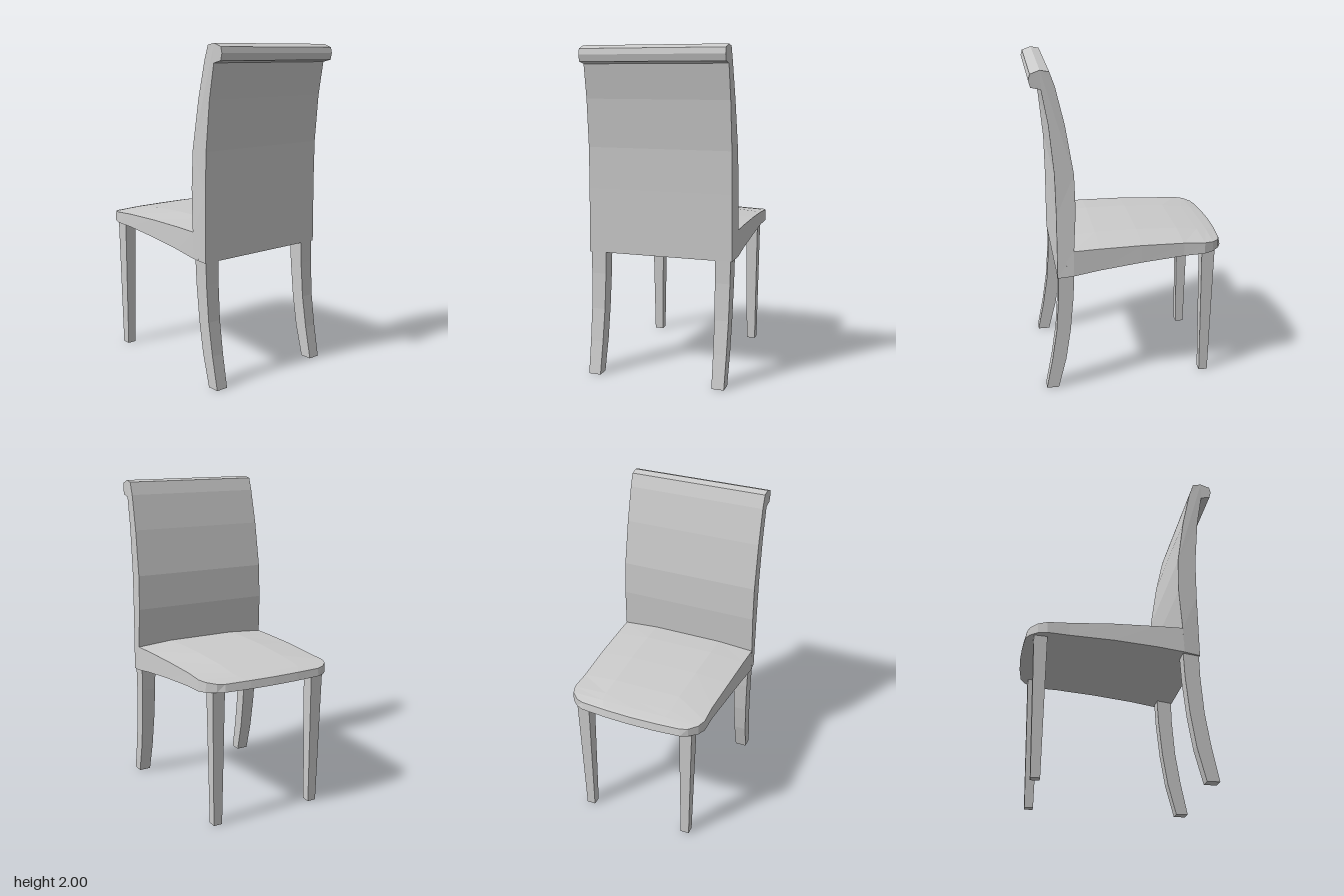
import * as THREE from 'three';

const material = new THREE.MeshStandardMaterial({ color: 0xcccccc, flatShading: true });

function addMesh(group, name, geometry) {
  const mesh = new THREE.Mesh(geometry, material);
  mesh.name = name;
  group.add(mesh);
  return mesh;
}

// Extrude a side profile across z, then set each vertex's z by a rule (side is -1 or 1).
function profileSolid(points, zRule) {
  const shape = new THREE.Shape(points.map(([x, y]) => new THREE.Vector2(x, y)));
  const geometry = new THREE.ExtrudeGeometry(shape, { depth: 1, bevelEnabled: false });
  const p = geometry.attributes.position;
  for (let i = 0; i < p.count; i++) {
    p.setZ(i, zRule(p.getX(i), p.getY(i), p.getZ(i) > 0.5 ? 1 : -1));
  }
  geometry.computeVertexNormals();
  return geometry;
}

// Seat cushion: cross-sections along x, with a crowned top and a bowed front edge.
function seatGeometry() {
  // x, half width, rim height, crown height, underside height, front bow
  const stations = [
    [-0.57, 0.325, 0.907, 0.909, 0.86, 0.018],
    [-0.55, 0.372, 0.91, 0.914, 0.858, 0.014],
    [-0.505, 0.42, 0.916, 0.923, 0.855, 0.008],
    [-0.45, 0.44, 0.92, 0.93, 0.851, 0],
    [-0.32, 0.437, 0.925, 0.943, 0.843, 0],
    [-0.06, 0.45, 0.932, 0.953, 0.823, 0],
    [0.2, 0.459, 0.93, 0.951, 0.793, 0],
    [0.36, 0.465, 0.926, 0.943, 0.768, 0],
    [0.4, 0.46, 0.924, 0.94, 0.762, 0],
  ];
  const across = [-1, -0.5, 0, 0.5, 1];
  const n = across.length, ring = 2 * n;
  const positions = [], index = [];
  stations.forEach(([x, w, rim, crown, under, bow], s) => {
    const bowed = (u) => x - bow * (1 - u * u);
    const inset = s === 0 ? 0.006 : 0;
    for (const u of across) positions.push(bowed(u) - inset / 2, under, u * w);
    for (const u of [...across].reverse()) {
      positions.push(bowed(u) + inset, Math.abs(u) === 1 ? rim : crown, u * (w - 0.003));
    }
  });
  const quad = (a, b, c, d) => index.push(a, b, c, a, c, d);
  for (let s = 0; s < stations.length - 1; s++) {
    for (let i = 0; i < ring; i++) {
      const j = (i + 1) % ring, a = s * ring, b = a + ring;
      quad(a + i, b + i, b + j, a + j);
    }
  }
  // End caps
  const last = (stations.length - 1) * ring;
  for (let i = 0; i < n - 1; i++) {
    const top = ring - 1 - i;
    quad(i, i + 1, top - 1, top);
    quad(last + top, last + top - 1, last + i + 1, last + i);
  }
  const geometry = new THREE.BufferGeometry();
  geometry.setAttribute('position', new THREE.Float32BufferAttribute(positions, 3));
  geometry.setIndex(index);
  geometry.computeVertexNormals();
  return geometry;
}

export function createModel() {
  const chair = new THREE.Group();
  chair.name = 'chair';

  addMesh(chair, 'seat', seatGeometry());

  // Curved backrest with a rolled top rail, flaring towards the lower front
  const backProfile = [
    [0.455, 0.755], [0.453, 1.15], [0.457, 1.4], [0.483, 1.69], [0.518, 1.893],
    [0.575, 1.905], [0.585, 1.945], [0.576, 1.98], [0.52, 2], [0.468, 1.99],
    [0.44, 1.91], [0.39, 1.69], [0.345, 1.4], [0.34, 1.18], [0.355, 0.92], [0.36, 0.768],
  ];
  addMesh(chair, 'backrest', profileSolid(backProfile, (x, y, side) => {
    const low = THREE.MathUtils.clamp((1.9 - y) / 1.1, 0, 1);
    const flare = x < 0.445 ? 0.022 : 0.01;
    return side * (0.443 + flare * low);
  }));

  const rearProfile = [
    [0.465, 0], [0.54, 0], [0.5, 0.2], [0.469, 0.4], [0.453, 0.62], [0.45, 0.765],
    [0.355, 0.775], [0.362, 0.62], [0.383, 0.4], [0.414, 0.2],
  ];
  const frontProfile = [[-0.51, 0], [-0.456, 0], [-0.445, 0.865], [-0.526, 0.865]];

  for (const side of [1, -1]) {
    const label = side > 0 ? 'Left' : 'Right';
    // Swept rear legs, tapering downwards
    addMesh(chair, 'rearLeg' + label, profileSolid(rearProfile, (x, y, s) =>
      side * 0.396 + s * (0.038 + 0.01 * y / 0.77)));
    // Straight tapered front legs
    addMesh(chair, 'frontLeg' + label, profileSolid(frontProfile, (x, y, s) =>
      side * 0.344 + s * (0.028 + 0.012 * y / 0.86)));
  }
  return chair;
}
